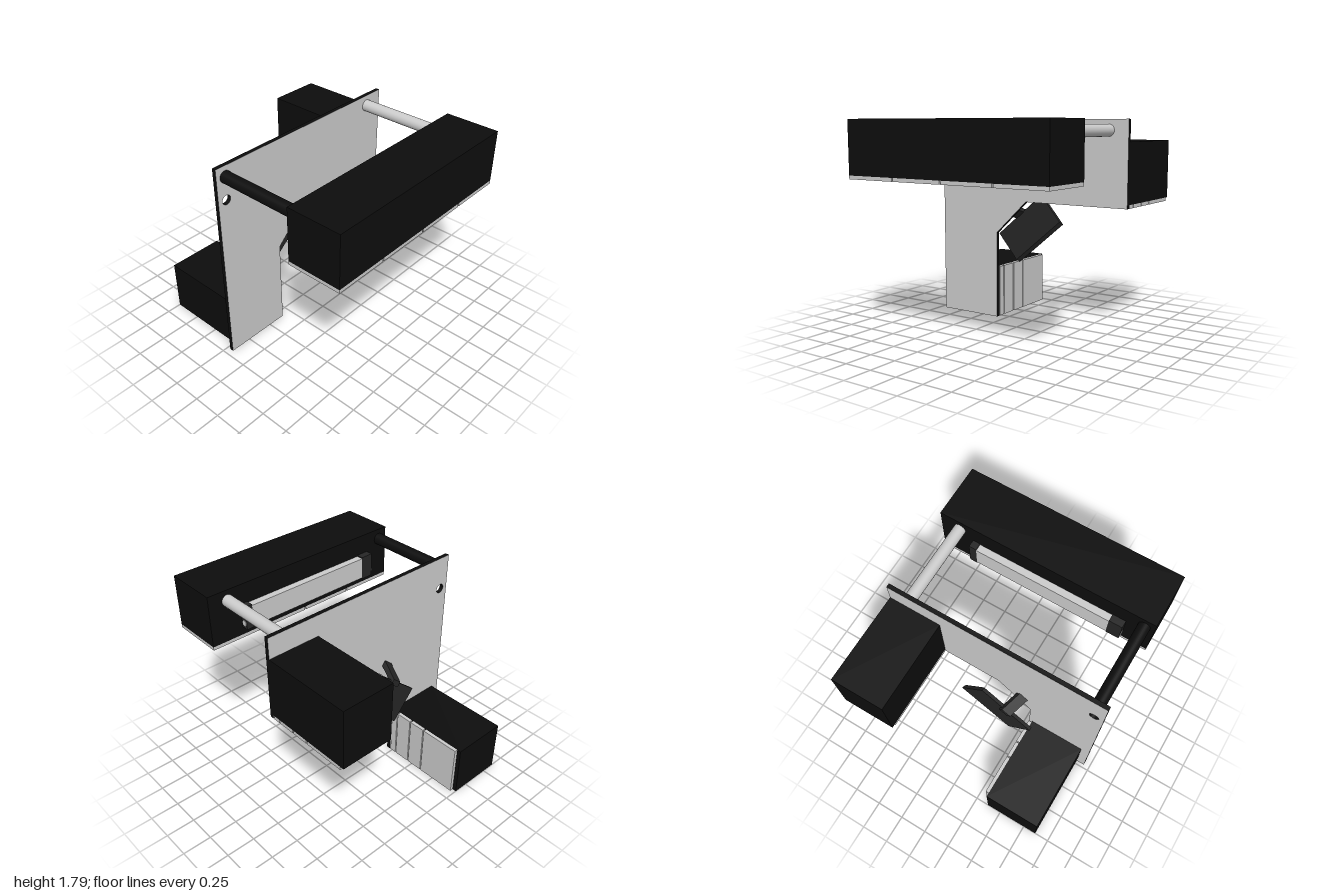
import * as THREE from 'three';

const grey = new THREE.MeshStandardMaterial({ color: 0xcccccc });
const black = new THREE.MeshStandardMaterial({ color: 0x0d0d0d });
const charcoal = new THREE.MeshStandardMaterial({ color: 0x262626 });

export function createModel() {
  const model = new THREE.Group();

  const add = (name, geometry, material) => {
    const mesh = new THREE.Mesh(geometry, material);
    mesh.name = name;
    model.add(mesh);
    return mesh;
  };
  // Box given by its lower and upper limits on each axis
  const box = (name, material, [x0, x1], [y0, y1], [z0, z1]) =>
    add(name, new THREE.BoxGeometry(x1 - x0, y1 - y0, z1 - z0), material)
      .position.set((x0 + x1) / 2, (y0 + y1) / 2, (z0 + z1) / 2);

  // Upright plate: L-shaped with a chamfered inner corner and a small hole
  const outline = new THREE.Shape([
    [-0.945, 0], [-0.34, 0], [-0.34, 0.78], [-0.03, 1.075],
    [0.94, 1.075], [0.94, 1.79], [-0.945, 1.79],
  ].map(([x, y]) => new THREE.Vector2(x, y)));
  outline.holes.push(new THREE.Path().absarc(-0.865, 1.5, 0.04, 0, Math.PI * 2, true));
  const plate = new THREE.ExtrudeGeometry(outline, { depth: 0.035, bevelEnabled: false, curveSegments: 24 });
  plate.translate(0, 0, -0.22);
  add('uprightPlate', plate, [grey, black]);

  // Front beam with four tiles under it
  box('frontBeam', black, [-0.945, 0.94], [1.34, 1.79], [0.53, 1]);
  const cuts = [-0.945, -0.475, 0, 0.475, 0.94];
  for (let i = 0; i < 4; i++) {
    box('frontBeamTile', grey, [cuts[i] + (i ? 0.007 : 0), cuts[i + 1] - (i < 3 ? 0.007 : 0)], [1.31, 1.34], [0.53, 1]);
  }

  // Panel on the back of the beam, held between two pivot brackets
  box('backPanel', grey, [-0.605, 0.585], [1.42, 1.61], [0.468, 0.53]);
  for (const [x0, x1, outer] of [[-0.72, -0.605, -0.72], [0.585, 0.65, 0.65]]) {
    box('panelBracket', charcoal, [x0, x1], [1.41, 1.62], [0.468, 0.53]);
    const pin = new THREE.CylinderGeometry(0.025, 0.025, 0.01, 24);
    pin.rotateZ(Math.PI / 2);
    add('pivotPin', pin, grey).position.set(outer, 1.46, 0.496);
  }

  // Rods joining plate and beam
  for (const [x, material] of [[-0.86, black], [0.765, grey]]) {
    const rod = new THREE.CylinderGeometry(0.05, 0.05, 0.715, 32);
    rod.rotateX(Math.PI / 2);
    add('connectingRod', rod, material).position.set(x, 1.7, 0.1725);
  }

  // Rear blocks, each with a row of tiles on its inner face
  box('upperRearBlock', black, [0.485, 0.94], [1.105, 1.61], [-1, -0.22]);
  box('lowerRearBlock', black, [-0.87, -0.37], [0, 0.46], [-1, -0.22]);
  const tileEdges = [-0.225, -0.295, -0.45, -0.605, -0.97];
  for (let i = 0; i < 4; i++) {
    const z = [tileEdges[i + 1] + 0.005, tileEdges[i] - 0.005];
    box('upperRearTile', grey, [0.485, 0.94], [1.075, 1.105], z);
    box('lowerRearTile', grey, [-0.37, -0.34], [0, 0.46], z);
  }

  // Tilted mirror with one long edge bevelled at the front
  const tilt = THREE.MathUtils.degToRad(40);
  const c = Math.cos(tilt), s = Math.sin(tilt);
  const section = new THREE.Shape([
    [0, -0.375], [0.327, -0.375], [0.327, -0.345], [0.03, -0.345], [0, -0.37],
  ].map(([v, z]) => new THREE.Vector2(v, z)));
  const mirror = new THREE.ExtrudeGeometry(section, { depth: 0.593, bevelEnabled: false });
  mirror.applyMatrix4(new THREE.Matrix4().makeBasis(
    new THREE.Vector3(-s, c, 0), new THREE.Vector3(0, 0, 1), new THREE.Vector3(c, s, 0)));
  mirror.translate(-0.215, 0.495, 0);
  add('tiltedMirror', mirror, charcoal);

  // Slanted arm from the plate to the mirror's upper edge
  const arm = new THREE.BoxGeometry(0.1, 0.05, 0.175);
  arm.rotateZ(tilt);
  arm.applyMatrix4(new THREE.Matrix4().set(
    1, 0, -0.37, -0.222,
    0, 1, 0.4, 0.965,
    0, 0, 1, -0.3075,
    0, 0, 0, 1));
  add('mirrorArm', arm, charcoal);

  return model;
}
